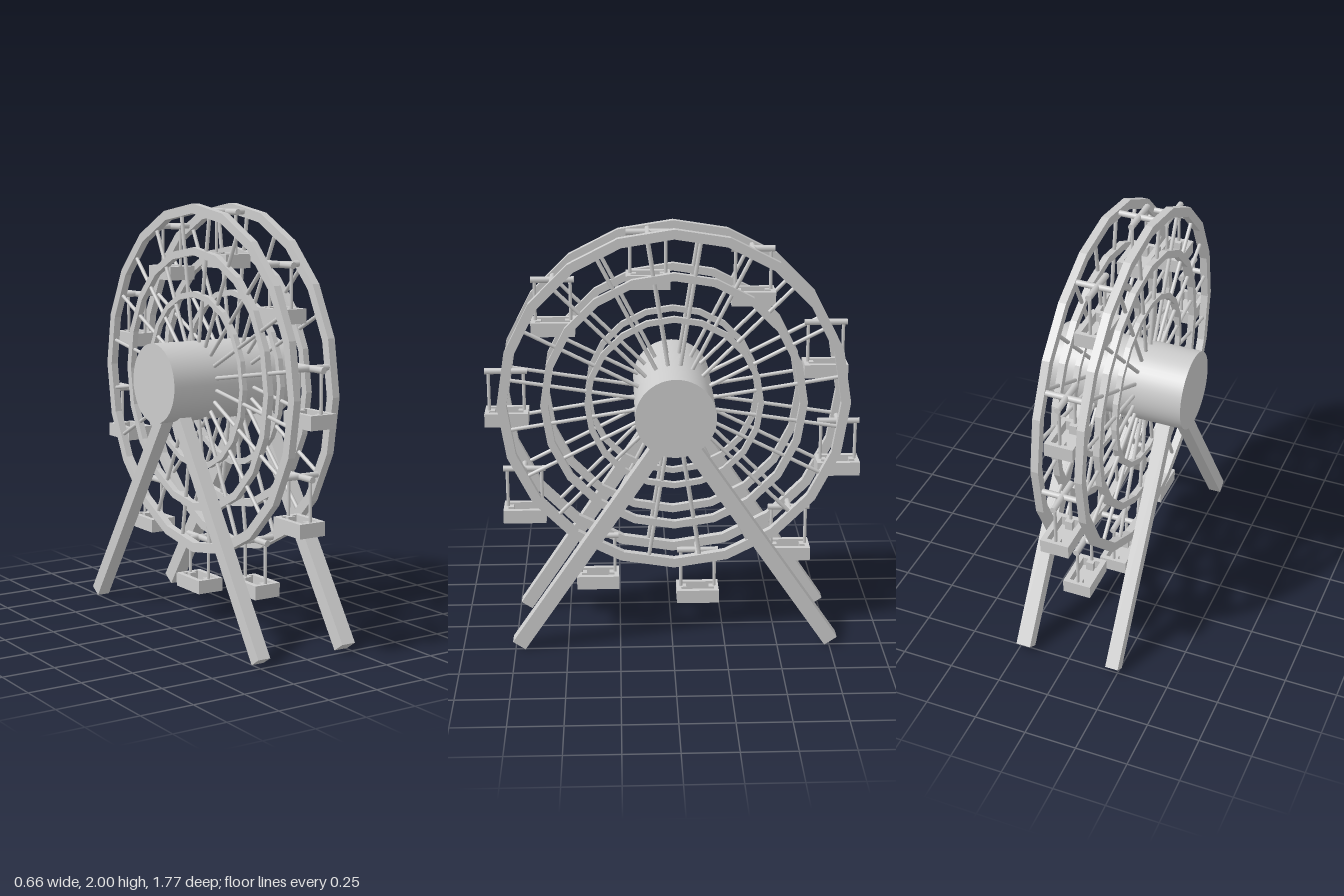
import * as THREE from 'three';

const material = new THREE.MeshStandardMaterial({ color: 0xcccccc });
const UP = new THREE.Vector3(0, 1, 0);

function add(parent, name, geometry, x = 0, y = 0, z = 0) {
  const mesh = new THREE.Mesh(geometry, material);
  mesh.name = name;
  mesh.position.set(x, y, z);
  parent.add(mesh);
  return mesh;
}

// Round bar between two points
function rod(parent, name, a, b, radius) {
  const from = new THREE.Vector3(...a), dir = new THREE.Vector3(...b).sub(from);
  const mesh = add(parent, name, new THREE.CylinderGeometry(radius, radius, dir.length(), 8));
  mesh.position.copy(from).addScaledVector(dir, 0.5);
  mesh.quaternion.setFromUnitVectors(UP, dir.normalize());
  return mesh;
}

// Twenty-sided hoop of rectangular section, lying in the plane across x
function hoopGeometry(outer, thickness, width) {
  const corners = (r) => Array.from({ length: 20 }, (_, i) => {
    const a = i * Math.PI / 10;
    return new THREE.Vector2(r * Math.cos(a), r * Math.sin(a));
  });
  const shape = new THREE.Shape(corners(outer));
  shape.holes.push(new THREE.Path(corners(outer - thickness).reverse()));
  const geometry = new THREE.ExtrudeGeometry(shape, { depth: width, bevelEnabled: false });
  return geometry.translate(0, 0, -width / 2).rotateY(Math.PI / 2);
}

// Rim of the gondola tray, notched inward where the hangers stand
function trayGeometry(w, l, depth) {
  const shape = new THREE.Shape([[-w, -l], [w, -l], [w, l], [-w, l]].map((p) => new THREE.Vector2(...p)));
  const x = 0.043, n = 0.018, z = 0.08, m = 0.055;
  shape.holes.push(new THREE.Path([
    [-x, -z], [-x, z], [-n, z], [-n, m], [n, m], [n, z],
    [x, z], [x, -z], [n, -z], [n, -m], [-n, -m], [-n, -z],
  ].map((p) => new THREE.Vector2(...p))));
  return new THREE.ExtrudeGeometry(shape, { depth, bevelEnabled: false }).rotateX(-Math.PI / 2);
}

// Gondola hanging from its pivot at the origin
function createGondola() {
  const gondola = new THREE.Group();
  gondola.name = 'gondola';
  rod(gondola, 'hangerBar', [0, 0, -0.1], [0, 0, 0.1], 0.015);
  for (const s of [-1, 1]) rod(gondola, 'hanger', [0, 0, s * 0.082], [0, -0.2, s * 0.082], 0.008);
  add(gondola, 'gondolaFloor', new THREE.BoxGeometry(0.135, 0.02, 0.204), 0, -0.245, 0);
  add(gondola, 'gondolaRim', trayGeometry(0.0675, 0.102, 0.045), 0, -0.235, 0);
  return gondola;
}

export function createModel() {
  const model = new THREE.Group();
  model.name = 'ferrisWheel';
  const wheel = new THREE.Group();
  wheel.name = 'wheel';
  wheel.position.set(-0.003, 1.177, -0.012);
  model.add(wheel);

  // Hub drum
  add(wheel, 'hub', new THREE.CylinderGeometry(0.186, 0.186, 0.664, 48).rotateZ(Math.PI / 2));

  // Two faces of the wheel, each with three hoops and twenty spokes
  const hoops = [['outerHoop', 0.823, 0.045, 0.036], ['middleHoop', 0.622, 0.036, 0.03], ['innerHoop', 0.418, 0.027, 0.025]];
  for (const side of [-1, 1]) {
    const x = side * 0.103;
    for (const [name, outer, thickness, width] of hoops) {
      add(wheel, name, hoopGeometry(outer, thickness, width), x);
    }
    for (let i = 0; i < 20; i++) {
      const a = (i + 0.5) * Math.PI / 10, c = -Math.cos(a), s = Math.sin(a);
      rod(wheel, 'spoke', [x, 0.16 * s, 0.16 * c], [x, 0.79 * s, 0.79 * c], 0.0095);
    }
  }

  // Ten axles across the rim, each carrying an upright gondola
  for (let i = 0; i < 10; i++) {
    const a = THREE.MathUtils.degToRad(26.5 + 36 * i);
    const y = 0.795 * Math.sin(a), z = -0.795 * Math.cos(a);
    rod(wheel, 'axle', [-0.1, y, z], [0.1, y, z], 0.014);
    const gondola = createGondola();
    gondola.position.set(-0.01, y, z);
    wheel.add(gondola);
  }

  // Splayed legs from the hub to the ground
  for (const [x, width, spread] of [[-0.226, 0.063, 0.73], [0.222, 0.071, 0.745]]) {
    for (const s of [-1, 1]) {
      const foot = new THREE.Vector3(x, 0.021, -0.012 + s * spread);
      const dir = new THREE.Vector3(x, 1.12, -0.012).sub(foot);
      const leg = add(model, 'leg', new THREE.BoxGeometry(width, dir.length(), width));
      leg.position.copy(foot).addScaledVector(dir, 0.5);
      leg.quaternion.setFromUnitVectors(UP, dir.normalize());
    }
  }
  return model;
}
